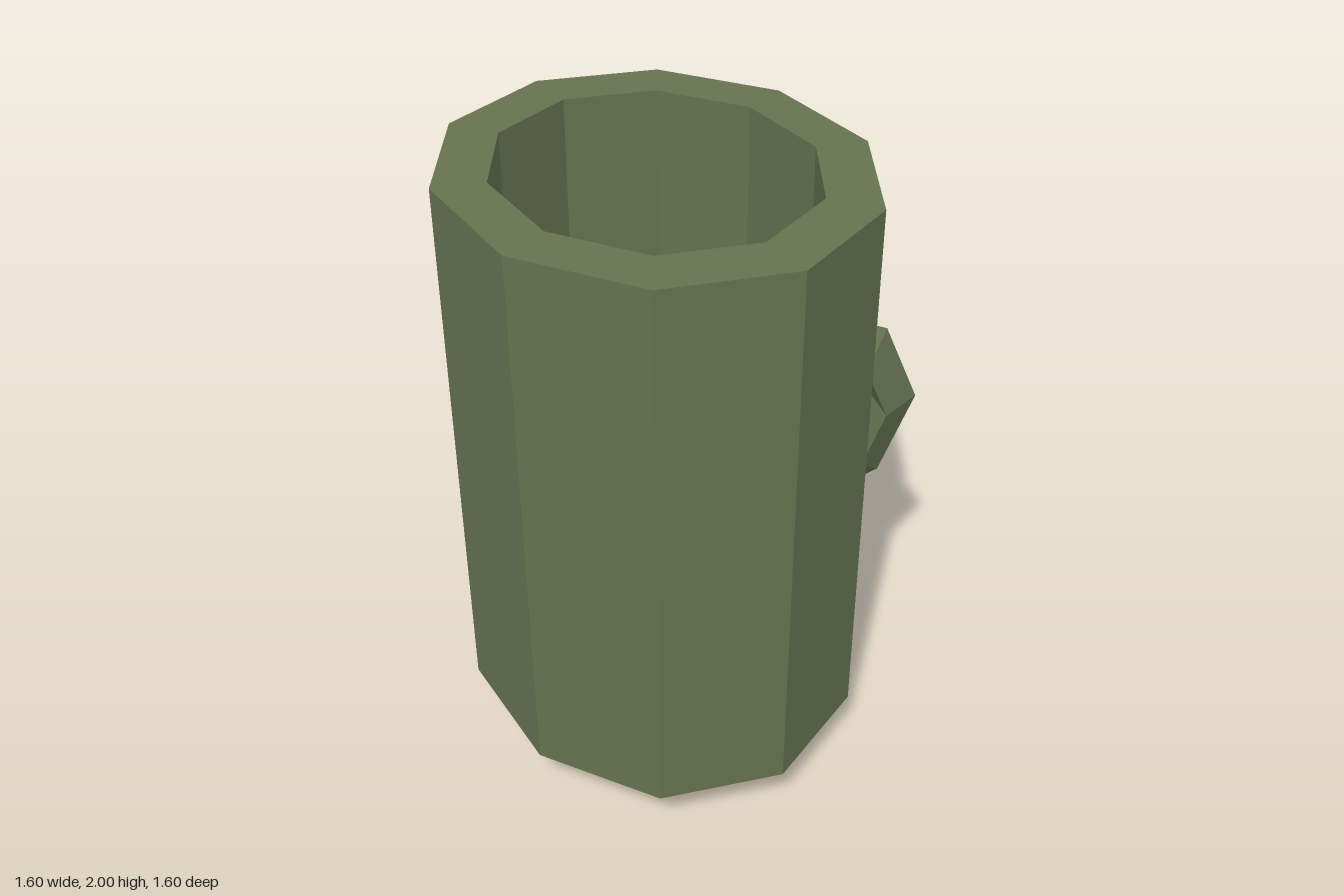
import * as THREE from 'three';

const SIDES = 10;

// Faceted copy of a geometry
function faceted(geometry) {
  const flat = geometry.index ? geometry.toNonIndexed() : geometry;
  flat.computeVertexNormals();
  return flat;
}

// Skin a stack of oval ten-sided rings [radiusX, radiusZ, y], each wound outwards
function loftRings(rings) {
  const positions = [];
  const index = [];
  for (const [rx, rz, y] of rings) {
    for (let i = 0; i < SIDES; i++) {
      const a = (i / SIDES) * Math.PI * 2;
      positions.push(rx * Math.cos(a), y, rz * Math.sin(a));
    }
  }
  for (let r = 0; r < rings.length - 1; r++) {
    for (let i = 0; i < SIDES; i++) {
      const j = (i + 1) % SIDES;
      const a = r * SIDES + i, b = r * SIDES + j;
      const c = a + SIDES, d = b + SIDES;
      index.push(a, c, b, b, c, d);
    }
  }
  const geometry = new THREE.BufferGeometry();
  geometry.setAttribute('position', new THREE.Float32BufferAttribute(positions, 3));
  geometry.setIndex(index);
  return faceted(geometry);
}

export function createModel() {
  const model = new THREE.Group();
  model.name = 'mug';
  const olive = new THREE.MeshStandardMaterial({ color: 0x65724f });
  olive.name = 'olive green';

  // Cup: underside, bevelled foot, outer wall, rim, inner wall and floor
  const cup = new THREE.Mesh(loftRings([
    [0.001, 0.001, 0],
    [0.46, 0.617, 0],
    [0.668, 0.822, 0.165],
    [0.683, 0.841, 2],
    [0.512, 0.636, 2],
    [0.512, 0.636, 0.17],
    [0.001, 0.001, 0.17],
  ]), olive);
  cup.name = 'cup';
  cup.position.x = -0.117;
  model.add(cup);

  // Handle: eight-sided ring of triangular section passing through the wall
  const ring = new THREE.TorusGeometry(0.323, 0.097, 3, 8);
  ring.scale(1, 0.95, 1.19);
  const handle = new THREE.Mesh(faceted(ring), olive);
  handle.name = 'handle';
  handle.position.set(0.38, 1.04, 0);
  model.add(handle);

  return model;
}
